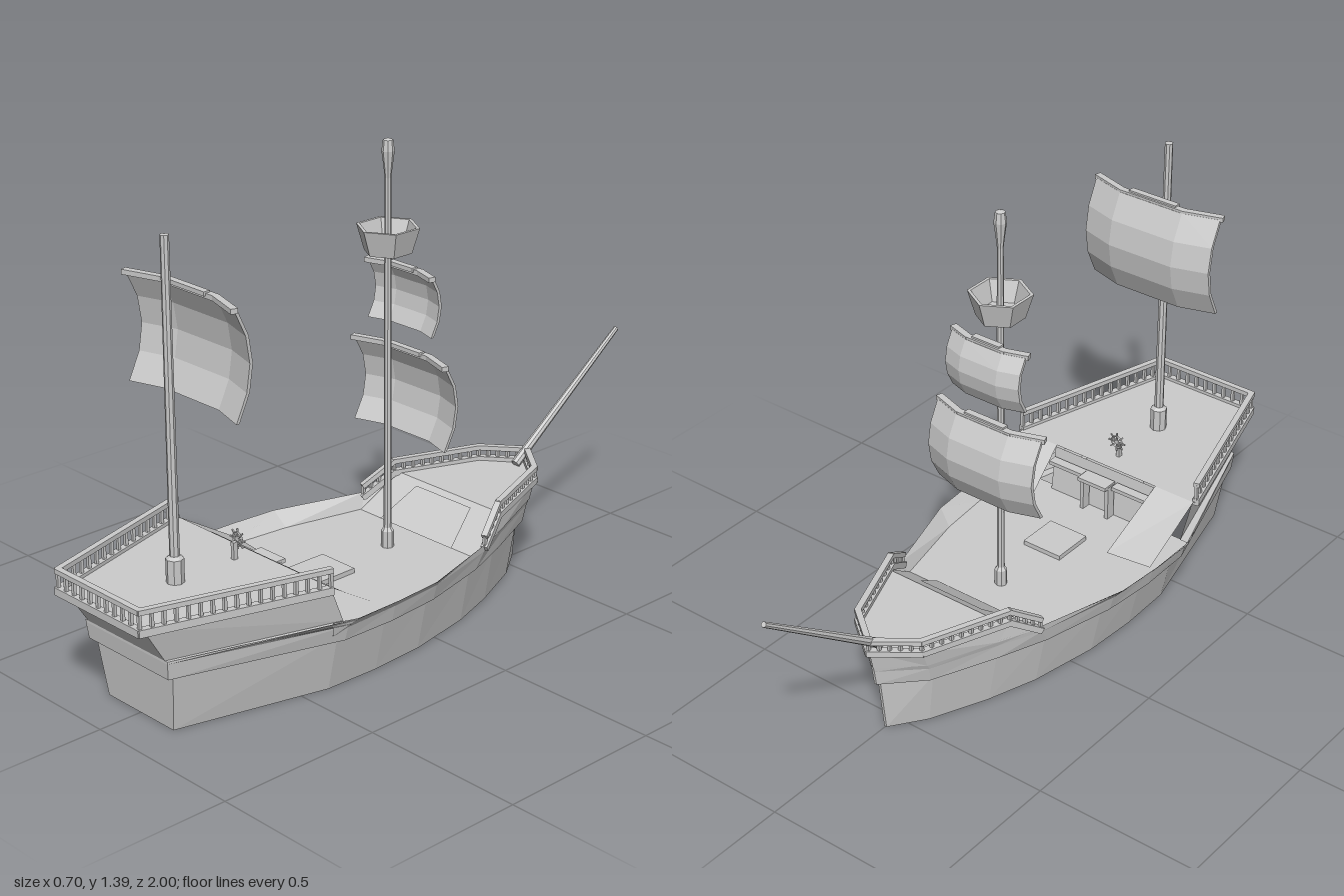
import * as THREE from 'three';

const mat = new THREE.MeshStandardMaterial({ color: 0xcccccc, flatShading: true, side: THREE.DoubleSide });
const V = (x, y, z) => new THREE.Vector3(x, y, z);

export function createModel() {
  const ship = new THREE.Group();
  ship.name = 'sailingShip';

  const add = (name, geo, parent = ship) => {
    const m = new THREE.Mesh(geo, mat);
    m.name = name;
    parent.add(m);
    return m;
  };
  const group = (name) => {
    const g = new THREE.Group();
    g.name = name;
    ship.add(g);
    return g;
  };
  // surface through rows of points, each row having the same length
  const skin = (rows, closed = false) => {
    const pos = [];
    for (let r = 0; r + 1 < rows.length; r++) {
      const a = rows[r], b = rows[r + 1], n = a.length;
      for (let i = 0; i < (closed ? n : n - 1); i++) {
        const j = (i + 1) % n;
        for (const p of [a[i], a[j], b[j], a[i], b[j], b[i]]) pos.push(p.x, p.y, p.z);
      }
    }
    const g = new THREE.BufferGeometry();
    g.setAttribute('position', new THREE.Float32BufferAttribute(pos, 3));
    g.computeVertexNormals();
    return g;
  };
  const flip = (pts) => pts.map((p) => V(-p.x, p.y, p.z));
  const half = (y, list) => list.map(([x, z, py = y]) => V(x, py, z));
  const ring = (pts) => [...pts, ...flip(pts).reverse()];
  const box = (name, w, h, d, x, y, z, parent) => {
    const m = add(name, new THREE.BoxGeometry(w, h, d), parent);
    m.position.set(x, y, z);
    return m;
  };
  // square beam between two points
  const beam = (name, a, b, w, h, parent) => {
    const m = box(name, w, h, a.distanceTo(b) + w * 0.5, 0, 0, 0, parent);
    m.position.copy(a).lerp(b, 0.5);
    m.lookAt(b);
    return m;
  };
  const lathe = (name, pts, z, sides, parent) => {
    const m = add(name, new THREE.LatheGeometry(pts.map((p) => new THREE.Vector2(p[0], p[1])), sides), parent);
    m.position.z = z;
    return m;
  };
  // ledge, posts and handrail along a path
  const railing = (name, path, rise, gap, ledge) => {
    const g = group(name);
    const up = V(0, rise, 0);
    for (let i = 0; i + 1 < path.length; i++) {
      const a = path[i], b = path[i + 1];
      beam('ledge', a, b, 0.02, ledge, g);
      beam('handrail', a.clone().add(up), b.clone().add(up), 0.018, 0.014, g);
      const n = Math.max(1, Math.round(a.distanceTo(b) / gap));
      for (let k = 0; k <= n; k++) {
        const p = a.clone().lerp(b, k / n);
        box('post', 0.009, rise, 0.009, p.x, p.y + rise / 2, p.z, g);
      }
    }
  };

  // hull: lower planking, stepped strake and flared bulwark, open underneath
  const bottom = half(0, [[.135, .865], [.245, .42], [.25, .25], [.24, .08], [.2, -.13], [.15, -.28], [.075, -.45], [.004, -.55]]);
  const waist = half(.17, [[.16, .88], [.282, .42], [.287, .25], [.275, .08], [.232, -.13], [.18, -.28], [.1, -.46], [.004, -.57]]);
  const strake = half(.17, [[.165, .9], [.312, .42], [.315, .25], [.3, .08], [.247, -.14], [.19, -.29], [.107, -.48], [.004, -.585]]);
  const strakeTop = half(.218, [[.17, .905], [.325, .42], [.326, .25], [.313, .08], [.25, -.17], [.195, -.295], [.112, -.49], [.004, -.592]]);
  const gunwale = half(.24, [[.17, .905, .225], [.348, .4], [.345, .25], [.334, .1], [.25, -.18], [.2, -.3], [.114, -.5], [.004, -.597]]);
  add('hull', skin([bottom, waist, strake, strakeTop, gunwale].map(ring), true));

  // bulwark lining and main deck
  const deckEdge = half(.195, [[.31, .46], [.31, .4], [.308, .25], [.293, .09], [.238, -.16], [.19, -.28]]);
  const lining = half(.24, [[.32, .47], [.345, .4], [.343, .25], [.332, .1], [.25, -.18], [.2, -.3]]);
  for (const side of [(p) => p, flip]) add('bulwarkLining', skin([side(deckEdge), side(lining)]));
  add('mainDeck', skin([deckEdge, flip(deckEdge)]));
  box('hatch', .13, .018, .13, 0, .2, .22);

  // stern castle
  const castleBase = half(.225, [[.16, .905], [.305, .42]]);
  const castleTop = half(.33, [[.165, .97], [.31, .465]]);
  add('sternCastle', skin([[...castleBase].reverse(), [...castleTop].reverse()].map((r) => [...r, ...flip(r).reverse()])));
  const sternDeck = half(.337, [[.17, .99], [.32, .465]]);
  add('sternDeck', skin([sternDeck, flip(sternDeck)]));
  add('sternLedge', skin([half(.225, [[.17, .905], [.335, .42]]), castleBase]));
  add('sternLedge', skin([flip(half(.225, [[.17, .905], [.335, .42]])), flip(castleBase)]));
  add('castleFront', skin([half(.195, [[.18, .44], [-.18, .44]]), half(.335, [[.18, .46], [-.18, .46]])]));
  for (const s of [1, -1]) {
    add('ramp', skin([[V(.155 * s, .2, .265), V(.308 * s, .215, .265)], [V(.18 * s, .337, .465), V(.315 * s, .337, .465)]]));
    box('doorPost', .012, .11, .03, s * .045, .25, .425);
    box('frontStep', .12, .012, .03, s * .115, .3, .435);
  }
  box('doorLintel', .1, .012, .05, 0, .305, .42);
  railing('sternRail', [V(.318, .336, .475), V(.168, .336, .988), V(-.168, .336, .988), V(-.318, .336, .475)], .058, .034, .022);

  // forecastle
  const foreTop = half(.29, [[.25, -.18, .235], [.213, -.265, .285], [.115, -.52, .29], [.004, -.61, .295]]);
  const foreBase = half(.235, [[.25, -.18], [.2, -.3], [.114, -.5], [.004, -.597]]);
  for (const side of [(p) => p, flip]) add('forecastleSide', skin([side(foreBase), side(foreTop)]));
  const foreDeck = half(.288, [[.208, -.28], [.115, -.52], [.004, -.61]]);
  add('foreDeck', skin([foreDeck, flip(foreDeck)]));
  add('foreBulkhead', skin([half(.195, [[.238, -.155], [-.238, -.155]]), half(.288, [[.208, -.28], [-.208, -.28]])]));
  add('forePanel', skin([half(.2, [[.145, -.145], [-.145, -.145]]), half(.28, [[.11, -.258], [-.11, -.258]])]));
  const forePath = [V(.248, .228, -.175), V(.212, .29, -.265), V(.113, .291, -.52), V(0, .292, -.608)];
  railing('foreRail', [...forePath, ...flip(forePath).reverse().slice(1)], .036, .03, .018);

  // bowsprit
  const from = V(0, .295, -.56), to = V(0, .615, -.995);
  const sprit = add('bowsprit', new THREE.CylinderGeometry(.008, .014, from.distanceTo(to), 8));
  sprit.position.copy(from).lerp(to, .5);
  sprit.quaternion.setFromUnitVectors(V(0, 1, 0), to.clone().sub(from).normalize());

  // masts
  lathe('mainMast', [[0, .195], [.018, .195], [.018, .245], [.011, .255], [.01, 1.07], [.009, 1.28], [.011, 1.3], [.018, 1.355], [.014, 1.385], [0, 1.39]], -.035, 8);
  lathe('aftMast', [[0, .337], [.025, .337], [.025, .405], [.014, .413], [.012, 1.288], [0, 1.29]], .735, 8);

  // lookout basket, open at the top
  lathe('lookoutBasket', [[0, 1.072], [.068, 1.072], [.09, 1.145], [.08, 1.145], [.06, 1.085], [0, 1.085]], -.035, 6);

  // billowing sails: three facets across, four down, with a yard on top
  const sail = (name, w, y0, y1, z, belly, sweep) => {
    const g = group(name);
    const xs = [-1, -.5, .5, 1];
    const row = (t, off) => xs.map((u) => V(u * w, y0 + (y1 - y0) * t,
      z - belly * (1 - (2 * t - 1) ** 2) + (Math.abs(u) === 1 ? sweep : 0) + off));
    const ts = [0, .25, .5, .75, 1];
    const front = ts.map((t) => row(t, -.005)), back = ts.map((t) => row(t, .005)).reverse();
    add('cloth', skin([...front, ...back, front[0]]), g);
    for (const e of [0, 3]) add('hem', skin([front.map((r) => r[e]), [...back].reverse().map((r) => r[e])]), g);
    const top = row(1, .006);
    for (let i = 0; i < 3; i++) beam('yard', top[i], top[i + 1], .02, .014, g);
    box('yardBlock', w * .75, .012, .02, 0, y1 + .006, z + .012, g);
  };
  sail('aftSail', .215, .83, 1.132, .658, .048, .033);
  sail('mainSail', .18, .522, .77, -.112, .044, .03);
  sail('upperSail', .125, .842, 1.012, -.103, .03, .02);

  // steering wheel on its stand
  const wheel = group('steeringWheel');
  wheel.position.set(0, .337, .52);
  box('stand', .012, .05, .014, 0, .025, .012, wheel);
  add('rim', new THREE.TorusGeometry(.02, .003, 4, 8), wheel).position.y = .055;
  for (let i = 0; i < 4; i++) box('spoke', .06, .004, .004, 0, .055, 0, wheel).rotation.z = i * Math.PI / 4;

  return ship;
}
